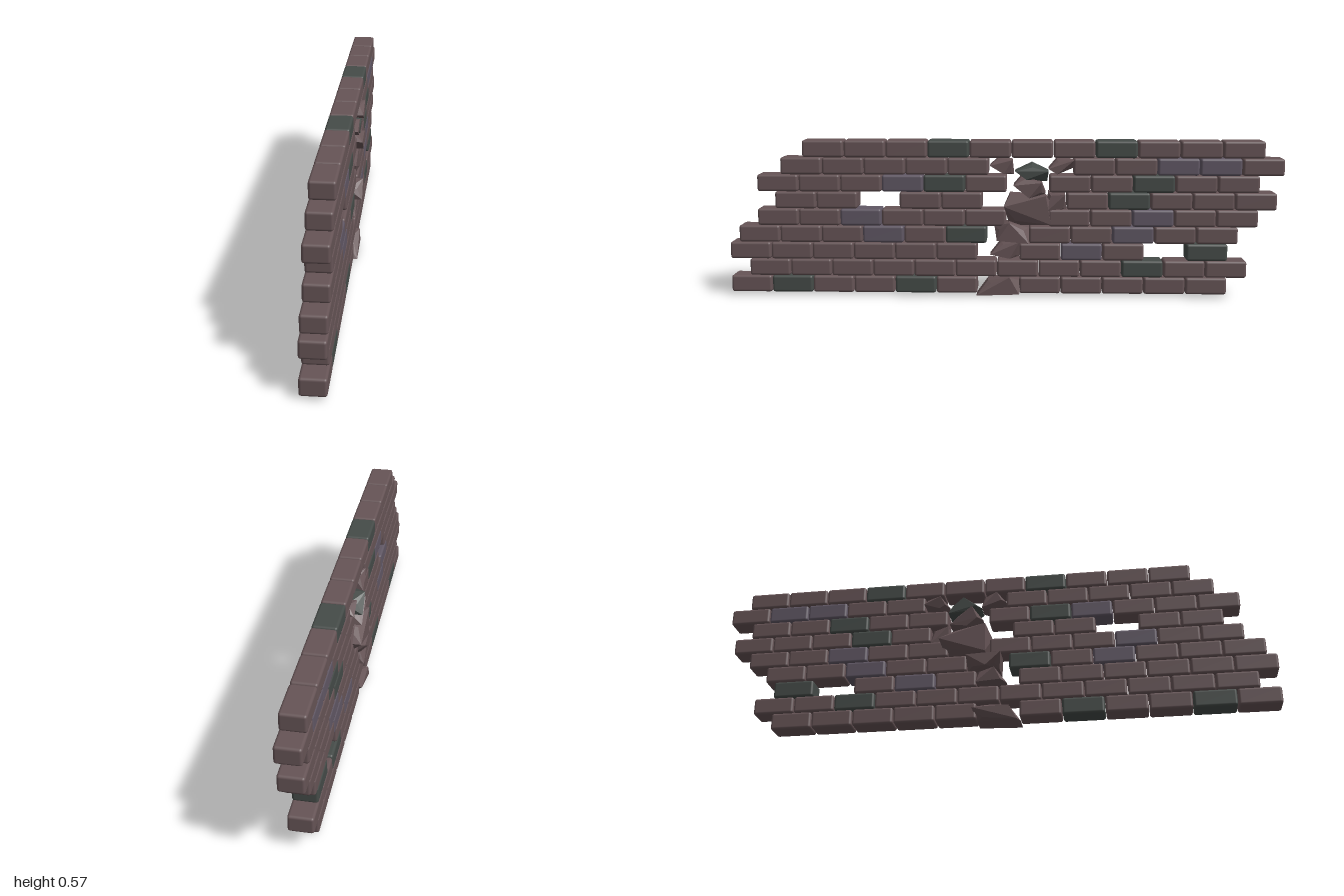
import * as THREE from 'three';
import { RoundedBoxGeometry } from 'three/addons/geometries/RoundedBoxGeometry.js';
import { ConvexGeometry } from 'three/addons/geometries/ConvexGeometry.js';

const PITCH = 0.1506, COURSE = 0.062, DEPTH = 0.085;

// Each course from the ground up: z of its +z end, and its bricks from +z to -z
// (b brown, g green-grey, p purple-grey, . empty)
const COURSES = [
  [1.0, 'bgbbgb.bbbbb'],
  [0.93, 'bbbbbbbbbgbb'],
  [1.0, 'bbbbbb.bpb.g'],
  [0.965, 'bbbpbg.bbpbb'],
  [0.895, 'bbpbbb.bbpbb'],
  [0.83, 'bb.bb..bgbbb'],
  [0.893, 'bbbpgb.bbgbb'],
  [0.807, 'bbbbb..bbppb'],
  [0.727, 'bbbgbbbgbbb'],
];

// Broken stones: colour, x range, outline as [z, y]
const CHUNKS = [
  ['b', -0.055, 0.055, [[0.1, 0.005], [0.06, 0.053], [-0.02, 0.073], [-0.07, 0.05], [-0.055, 0.01], [0.09, 0]]],
  ['b', -0.058, 0.043, [[0.05, 0.155], [0.01, 0.2], [-0.055, 0.2], [-0.055, 0.145], [-0.02, 0.14]]],
  ['b', -0.068, 0.066, [[0.025, 0.21], [0.035, 0.255], [-0.02, 0.275], [-0.09, 0.25], [-0.09, 0.2], [-0.02, 0.205]]],
  ['b', -0.07, 0.042, [[0, 0.33], [-0.02, 0.37], [-0.15, 0.37], [-0.19, 0.32], [-0.17, 0.265], [-0.02, 0.26]]],
  ['b', -0.042, 0.042, [[-0.15, 0.31], [-0.16, 0.38], [-0.22, 0.375], [-0.225, 0.315]]],
  ['b', -0.065, 0.062, [[-0.035, 0.41], [-0.07, 0.445], [-0.135, 0.42], [-0.15, 0.375], [-0.09, 0.365]]],
  ['b', -0.05, 0.052, [[0.05, 0.48], [0.02, 0.505], [-0.03, 0.5], [-0.035, 0.445], [0, 0.45]]],
  ['g', -0.068, 0.05, [[-0.04, 0.46], [-0.1, 0.482], [-0.16, 0.46], [-0.155, 0.42], [-0.08, 0.43]]],
  ['b', -0.055, 0.055, [[-0.16, 0.47], [-0.19, 0.5], [-0.25, 0.5], [-0.25, 0.47], [-0.19, 0.45]]],
];

// Stone cut between two faces, with alternate corners set back
function chunkGeometry(lo, hi, outline) {
  const cz = outline.reduce((s, p) => s + p[0], 0) / outline.length;
  const cy = outline.reduce((s, p) => s + p[1], 0) / outline.length;
  const points = [];
  outline.forEach(([z, y], i) => {
    const front = i % 2 ? 0.7 : 1, back = i % 2 ? 1 : 0.7;
    const shrink = (k, v, c) => c + (v - c) * k;
    points.push(new THREE.Vector3(hi * front, shrink(front, y, cy), shrink(front, z, cz)));
    points.push(new THREE.Vector3(lo * back, shrink(back, y, cy), shrink(back, z, cz)));
    points.push(new THREE.Vector3(i % 2 ? 0.012 : -0.012, y, z));
  });
  return new ConvexGeometry(points);
}

export function createModel() {
  const wall = new THREE.Group();
  wall.name = 'brokenBrickWall';
  const colors = { b: 0x665456, g: 0x454b48, p: 0x605764 };
  const brickMaterial = {}, stoneMaterial = {};
  for (const k in colors) {
    brickMaterial[k] = new THREE.MeshStandardMaterial({ color: colors[k] });
    stoneMaterial[k] = new THREE.MeshStandardMaterial({ color: colors[k], flatShading: true });
  }

  // Bricks with softened edges, laid in staggered courses
  const brick = new RoundedBoxGeometry(DEPTH, 0.0615, 0.148, 2, 0.009);
  COURSES.forEach(([start, pattern], row) => {
    const course = new THREE.Group();
    course.name = `course${row + 1}`;
    [...pattern].forEach((kind, i) => {
      if (kind === '.') return;
      const mesh = new THREE.Mesh(brick, brickMaterial[kind]);
      mesh.name = 'brick';
      mesh.position.set(0, 0.0415 + row * COURSE, start - (i + 0.5) * PITCH);
      course.add(mesh);
    });
    wall.add(course);
  });

  // Rubble filling the crack
  const rubble = new THREE.Group();
  rubble.name = 'rubble';
  for (const [kind, lo, hi, outline] of CHUNKS) {
    const mesh = new THREE.Mesh(chunkGeometry(lo, hi, outline), stoneMaterial[kind]);
    mesh.name = 'brokenStone';
    rubble.add(mesh);
  }
  wall.add(rubble);
  return wall;
}
